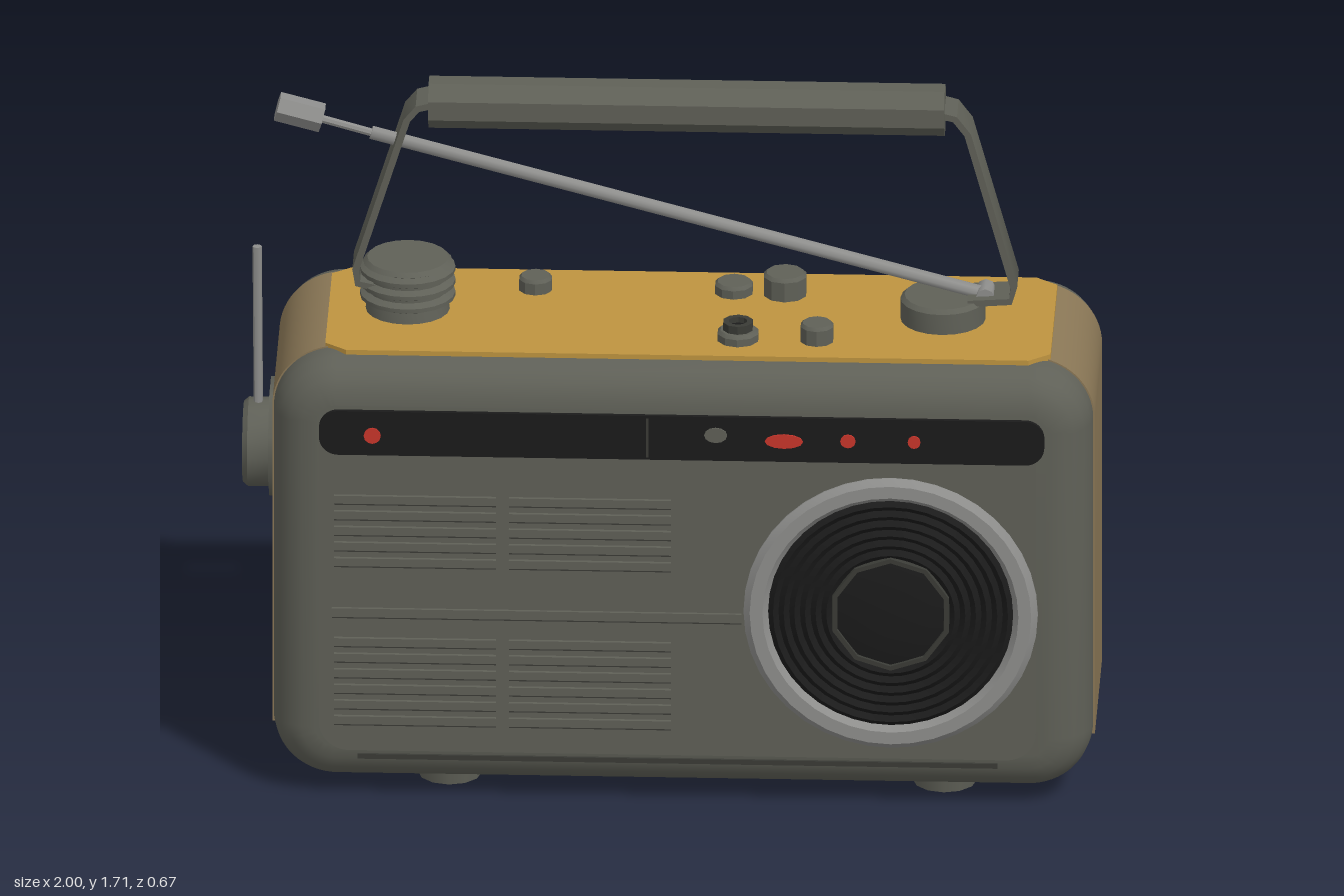
import * as THREE from 'three';
import { toCreasedNormals } from 'three/addons/utils/BufferGeometryUtils.js';

const mat = (name, color, side = THREE.FrontSide) => {
  const m = new THREE.MeshStandardMaterial({ color, side });
  m.name = name;
  return m;
};

// Rounded rectangle outline centred on (cx, cy)
function roundRect(cx, cy, w, h, r) {
  const s = new THREE.Shape();
  const x0 = cx - w / 2, x1 = cx + w / 2, y0 = cy - h / 2, y1 = cy + h / 2;
  s.moveTo(x0 + r, y0);
  s.lineTo(x1 - r, y0);
  s.absarc(x1 - r, y0 + r, r, -Math.PI / 2, 0);
  s.lineTo(x1, y1 - r);
  s.absarc(x1 - r, y1 - r, r, 0, Math.PI / 2);
  s.lineTo(x0 + r, y1);
  s.absarc(x0 + r, y1 - r, r, Math.PI / 2, Math.PI);
  s.lineTo(x0, y0 + r);
  s.absarc(x0 + r, y0 + r, r, Math.PI, Math.PI * 1.5);
  return s;
}

// Extrude a shape between two z planes
function slab(shape, z0, z1, bevel = 0) {
  const g = new THREE.ExtrudeGeometry(shape, {
    depth: z1 - z0 - 2 * bevel, bevelEnabled: bevel > 0, bevelSize: bevel,
    bevelThickness: bevel, bevelSegments: 5, curveSegments: 8,
  });
  g.translate(0, 0, z0 + bevel);
  return toCreasedNormals(g, 0.6);
}

export function createModel() {
  const radio = new THREE.Group();
  radio.name = 'portableRadio';
  const grey = mat('olive grey', 0x5f6057);
  const dark = mat('dark grey', 0x3a3b36);
  const black = mat('black', 0x1b1b1b);
  const amber = mat('amber', 0xbe9440);
  const tan = mat('tan', 0x8a7756);
  const silver = mat('silver', 0x8e8e8c);
  const red = mat('red', 0xc8352b);

  const add = (name, geo, material, x = 0, y = 0, z = 0, parent = radio) => {
    const m = new THREE.Mesh(geo, material);
    m.name = name;
    m.position.set(x, y, z);
    parent.add(m);
    return m;
  };
  const lathe = (pts, n = 24, crease = 0.6) => toCreasedNormals(
    new THREE.LatheGeometry(pts.map(p => new THREE.Vector2(...p)), n), crease);
  const rod = (name, a, b, r, material, sides = 8) => {
    const A = new THREE.Vector3(...a), B = new THREE.Vector3(...b);
    const m = add(name, toCreasedNormals(new THREE.CylinderGeometry(r, r, A.distanceTo(B), sides), 0.9), material);
    m.position.copy(A).add(B).multiplyScalar(0.5);
    m.quaternion.setFromUnitVectors(new THREE.Vector3(0, 1, 0), B.clone().sub(A).normalize());
    return m;
  };

  // Case: rounded outline with rounded front and back edges
  const CX = 0.04, CY = 0.573;
  add('case', slab(roundRect(CX, CY, 1.72, 0.875, 0.05), -0.325, 0.318, 0.1), grey);

  // Top deck with cut corners
  const deck = new THREE.Shape([[-0.8, -0.2], [-0.75, -0.24], [0.85, -0.24], [0.9, -0.2],
    [0.9, 0.2], [0.85, 0.24], [-0.75, 0.24], [-0.8, 0.2]].map(p => new THREE.Vector2(...p)));
  const deckGeo = slab(deck, 0, 0.025);
  deckGeo.rotateX(-Math.PI / 2);
  add('topDeck', deckGeo, amber, 0, 1.094, 0);

  // Side panels that follow the upper corners, and the base panel
  for (const s of [1, -1]) {
    const outline = new THREE.Shape();
    const ex = s * 0.81, a0 = s > 0 ? 0 : Math.PI, a1 = Math.PI / 2;
    outline.moveTo(s * 0.95, 0.15);
    outline.lineTo(s * 0.964, 0.15);
    outline.absarc(ex, 0.96, 0.154, a0, a1, s < 0);
    outline.absarc(ex, 0.96, 0.14, a1, a0, s > 0);
    add(s > 0 ? 'leftSidePanel' : 'rightSidePanel', slab(outline, -0.225, 0.205), tan, CX);
  }
  add('basePanel', new THREE.BoxGeometry(1.5, 0.008, 0.34), tan, CX, 0.035, 0);

  // Feet
  for (const x of [-0.51, 0.65]) for (const z of [-0.145, 0.145])
    add('foot', new THREE.CylinderGeometry(0.08, 0.075, 0.04, 12), grey, x, 0.02, z);

  // Front fascia with a low step at its rim
  add('frontFascia', slab(roundRect(0.03, 0.56, 1.68, 0.86, 0.07), 0.31, 0.322), grey);
  add('lowerTrim', new THREE.BoxGeometry(1.5, 0.012, 0.006), dark, 0.03, 0.115, 0.321);

  // Display strip with lamps
  add('displayStrip', slab(roundRect(0.04, 0.945, 1.7, 0.112, 0.045), 0.312, 0.328), black);
  add('displayDivider', new THREE.BoxGeometry(0.006, 0.1, 0.004), dark, -0.04, 0.945, 0.328);
  for (const [x, y, rx, ry, m] of [[-0.685, 0.94, 0.02, 0.02, red], [0.28, 0.942, 0.045, 0.018, red],
    [0.43, 0.945, 0.018, 0.017, red], [0.585, 0.945, 0.015, 0.016, red], [0.12, 0.955, 0.027, 0.019, grey]]) {
    const lamp = add('lamp', new THREE.CylinderGeometry(1, 1, 0.008, 12), m, x, y, 0.328);
    lamp.rotation.x = Math.PI / 2;
    lamp.scale.set(rx, 1, ry);
  }

  // Slatted grille in two blocks of two columns
  for (const [top, rows] of [[0.775, 5], [0.41, 6]]) for (let i = 0; i < rows; i++)
    for (const x of [-0.585, -0.175]) {
      const y = top - i * 0.04;
      add('grilleSlat', new THREE.BoxGeometry(0.38, 0.02, 0.016), grey, x, y, 0.323);
      add('grilleGap', new THREE.BoxGeometry(0.38, 0.005, 0.004), dark, x, y - 0.0135, 0.322);
    }
  add('grilleRail', new THREE.BoxGeometry(0.96, 0.022, 0.014), grey, -0.3, 0.485, 0.323);
  add('grilleRailGap', new THREE.BoxGeometry(0.96, 0.005, 0.004), dark, -0.3, 0.471, 0.322);

  // Speaker: metal ring, ridged cone and centre cap
  const speaker = new THREE.Group();
  speaker.name = 'speaker';
  speaker.position.set(0.53, 0.505, 0.315);
  speaker.rotation.x = Math.PI / 2;
  radio.add(speaker);
  add('speakerRing', lathe([[0.345, 0], [0.345, 0.012], [0.33, 0.026], [0.3, 0.026], [0.285, 0.008]], 40), silver, 0, 0, 0, speaker);
  const ridges = [];
  for (let i = 0; i <= 12; i++) ridges.push([0.288 - i * 0.0125, i % 2 ? 0.021 : 0.01]);
  add('speakerCone', lathe(ridges, 40, 0.3), black, 0, 0, 0, speaker);
  add('capRim', lathe([[0.145, 0.008], [0.143, 0.022], [0.132, 0.022], [0.13, 0.008]], 10), dark, 0, 0, 0, speaker);
  add('centreCap', lathe([[0.133, 0.014], [0.1, 0.021], [0.05, 0.025], [0, 0.026]], 24), black, 0, 0, 0, speaker);

  // Large top knobs: one threaded, one plain
  const thread = [[0.1, 0]];
  for (let i = 0; i < 3; i++) {
    const y = 0.035 + i * 0.032;
    thread.push([0.095, y], [0.112, y + 0.008], [0.112, y + 0.018], [0.095, y + 0.026]);
  }
  thread.push([0.105, 0.13], [0.095, 0.14], [0, 0.14]);
  add('threadedKnob', lathe(thread, 20), grey, -0.615, 1.11, -0.01);
  add('antennaBase', lathe([[0.1, 0], [0.1, 0.06], [0.09, 0.07], [0, 0.07]], 20), grey, 0.64, 1.11, 0);

  // Small top controls
  for (const [x, z, r, top] of [[-0.32, -0.13, 0.04, 1.155], [0.145, -0.13, 0.046, 1.148],
    [0.265, -0.125, 0.052, 1.175], [0.165, 0.14, 0.05, 1.145], [0.35, 0.14, 0.04, 1.165]])
    add('smallKnob', lathe([[r, 0], [r, top - 1.118], [r * 0.85, top - 1.11], [0, top - 1.11]], 10), grey, x, 1.11, z);
  add('socketRim', lathe([[0.036, 0], [0.036, 0.02], [0.022, 0.02], [0.022, 0]], 10), dark, 0.165, 1.145, 0.14);
  add('socketHole', new THREE.CylinderGeometry(0.022, 0.022, 0.006, 10), black, 0.165, 1.148, 0.14);

  // Carry handle: faceted grip and two bent straps
  const grip = add('handleGrip', toCreasedNormals(new THREE.CylinderGeometry(0.061, 0.061, 1.21, 8), 0.3), grey, 0.04, 1.652, 0);
  grip.rotation.set(0, 0, Math.PI / 2);
  grip.geometry.rotateY(Math.PI / 8);
  const strap = (name, pts) => {
    const path = pts.map(p => new THREE.Vector2(...p));
    const t = 0.008, sideA = [], sideB = [];
    path.forEach((p, i) => {
      const d = path[Math.min(i + 1, path.length - 1)].clone().sub(path[Math.max(i - 1, 0)]).normalize();
      sideA.push(new THREE.Vector2(p.x - d.y * t, p.y + d.x * t));
      sideB.unshift(new THREE.Vector2(p.x + d.y * t, p.y - d.x * t));
    });
    add(name, slab(new THREE.Shape([...sideA, ...sideB]), -0.052, 0.052), grey);
  };
  strap('rightStrap', [[-0.55, 1.665], [-0.59, 1.655], [-0.615, 1.625], [-0.735, 1.24], [-0.73, 1.205], [-0.69, 1.195]]);
  strap('leftStrap', [[0.63, 1.66], [0.67, 1.65], [0.7, 1.61], [0.808, 1.22], [0.8, 1.185], [0.7, 1.178]]);

  // Telescopic antenna
  rod('antennaPivot', [0.74, 1.185, -0.03], [0.74, 1.185, 0.03], 0.022, silver);
  rod('antennaTube', [0.74, 1.183, 0], [-0.7, 1.571, 0], 0.017, silver);
  rod('antennaRod', [-0.7, 1.571, 0], [-0.82, 1.605, 0], 0.01, silver);
  rod('antennaTip', [-0.815, 1.606, 0], [-0.92, 1.634, 0], 0.035, silver, 6);

  // Tuning dial with backing plate and short whip on the right side
  const plate = add('dialPlate', new THREE.CylinderGeometry(0.14, 0.14, 0.025, 8), grey, -0.925, 0.785, -0.01);
  plate.rotation.set(Math.PI / 8, 0, Math.PI / 2);
  const dial = add('tuningDial', lathe([[0.105, 0], [0.105, 0.055], [0.095, 0.067], [0, 0.067]], 16), grey, -0.933, 0.77, -0.01);
  dial.rotation.z = Math.PI / 2;
  rod('whip', [-0.965, 0.85, -0.01], [-0.968, 1.27, -0.01], 0.011, silver);

  // Slim vent along the top of the back
  add('backVent', new THREE.BoxGeometry(0.8, 0.012, 0.006), black, -0.15, 0.995, -0.324);
  return radio;
}
